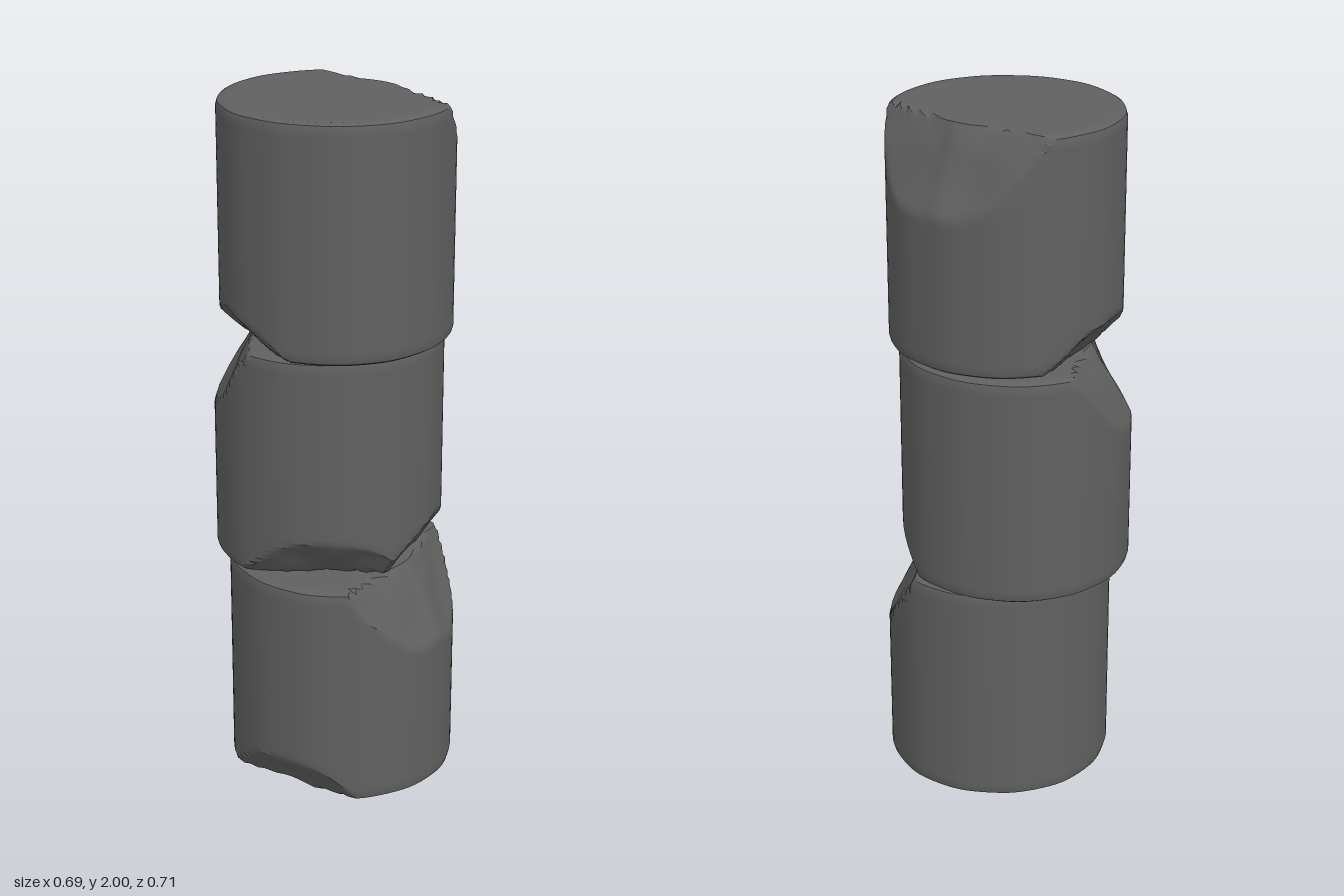
import * as THREE from 'three';
import { mergeVertices, toCreasedNormals } from 'three/addons/utils/BufferGeometryUtils.js';

const R = 0.33, HALF = 1 / 3, BEVEL = 0.016;

// A chip is a slanted cut: 'inset' is its distance from the axis at the drum's end,
// 'drop' is how far it runs along the side, 'end' is 1 for the top and -1 for the bottom.
function chip(degrees, inset, drop, end) {
  const a = THREE.MathUtils.degToRad(degrees);
  const normal = new THREE.Vector3(Math.cos(a) * drop, end * (R - inset), Math.sin(a) * drop);
  return { normal, offset: drop * inset + (R - inset) * HALF };
}

// Profile from the bottom centre to the top centre, with worn edges
function drumProfile() {
  const pts = [];
  const flat = R - BEVEL;
  for (let i = 0; i <= 12; i++) pts.push(new THREE.Vector2(flat * i / 12, -HALF));
  pts.push(new THREE.Vector2(R - BEVEL * 0.25, -HALF + BEVEL * 0.45));
  for (let i = 0; i <= 36; i++) {
    pts.push(new THREE.Vector2(R, (HALF - BEVEL * 1.3) * (i / 18 - 1)));
  }
  pts.push(new THREE.Vector2(R - BEVEL * 0.25, HALF - BEVEL * 0.45));
  for (let i = 12; i >= 0; i--) pts.push(new THREE.Vector2(flat * i / 12, HALF));
  return pts;
}

function drumGeometry(chips, seed) {
  let geo = new THREE.LatheGeometry(drumProfile(), 84);
  geo.deleteAttribute('uv');
  geo.deleteAttribute('normal');
  const pos = geo.attributes.position;
  const p = new THREE.Vector3();
  for (let i = 0; i < pos.count; i++) {
    p.fromBufferAttribute(pos, i);
    // gentle hand-cut unevenness round the side
    const a = Math.atan2(p.z, p.x);
    const uneven = 1 - 0.006 * (1 + Math.sin(a * 9 + seed) * Math.sin(a * 4 + seed * 2)) * Math.hypot(p.x, p.z) / R;
    // pull the surface back to whichever cut lies deepest
    const rough = 1 + 0.012 * Math.sin(p.x * 23 + seed) * Math.sin(p.z * 19 + p.y * 17);
    let scale = 1;
    for (const { normal, offset } of chips) {
      const reach = normal.dot(p);
      if (reach > 0) scale = Math.min(scale, offset * rough / reach);
    }
    p.x *= uneven;
    p.z *= uneven;
    p.multiplyScalar(scale);
    pos.setXYZ(i, p.x, p.y, p.z);
  }
  geo = mergeVertices(geo, 1e-4);
  return toCreasedNormals(geo, 0.6);
}

export function createModel() {
  const model = new THREE.Group();
  model.name = 'stonePillar';
  const stone = new THREE.MeshStandardMaterial({ color: 0x606060 });
  stone.name = 'dark grey stone';

  // Three stacked drums, each shifted a little and chipped at different places
  const drums = [
    {
      name: 'bottomDrum', x: 0.017, z: 0.03,
      chips: [chip(20, 0.215, 0.23, 1), chip(42, 0.215, 0.22, 1), chip(125, 0.25, 0.12, -1)],
    },
    {
      name: 'middleDrum', x: -0.02, z: -0.027,
      chips: [chip(186, 0.21, 0.23, 1), chip(208, 0.215, 0.22, 1),
        chip(95, 0.23, 0.13, -1), chip(25, 0.24, 0.13, -1)],
    },
    {
      name: 'topDrum', x: 0, z: 0.005,
      chips: [chip(-46, 0.21, 0.23, 1), chip(-28, 0.21, 0.24, 1),
        chip(223, 0.23, 0.12, -1), chip(158, 0.24, 0.1, -1)],
    },
  ];
  drums.forEach(({ name, x, z, chips }, i) => {
    const drum = new THREE.Mesh(drumGeometry(chips, i * 1.7), stone);
    drum.name = name;
    drum.position.set(x, HALF * (2 * i + 1), z);
    model.add(drum);
  });
  return model;
}
